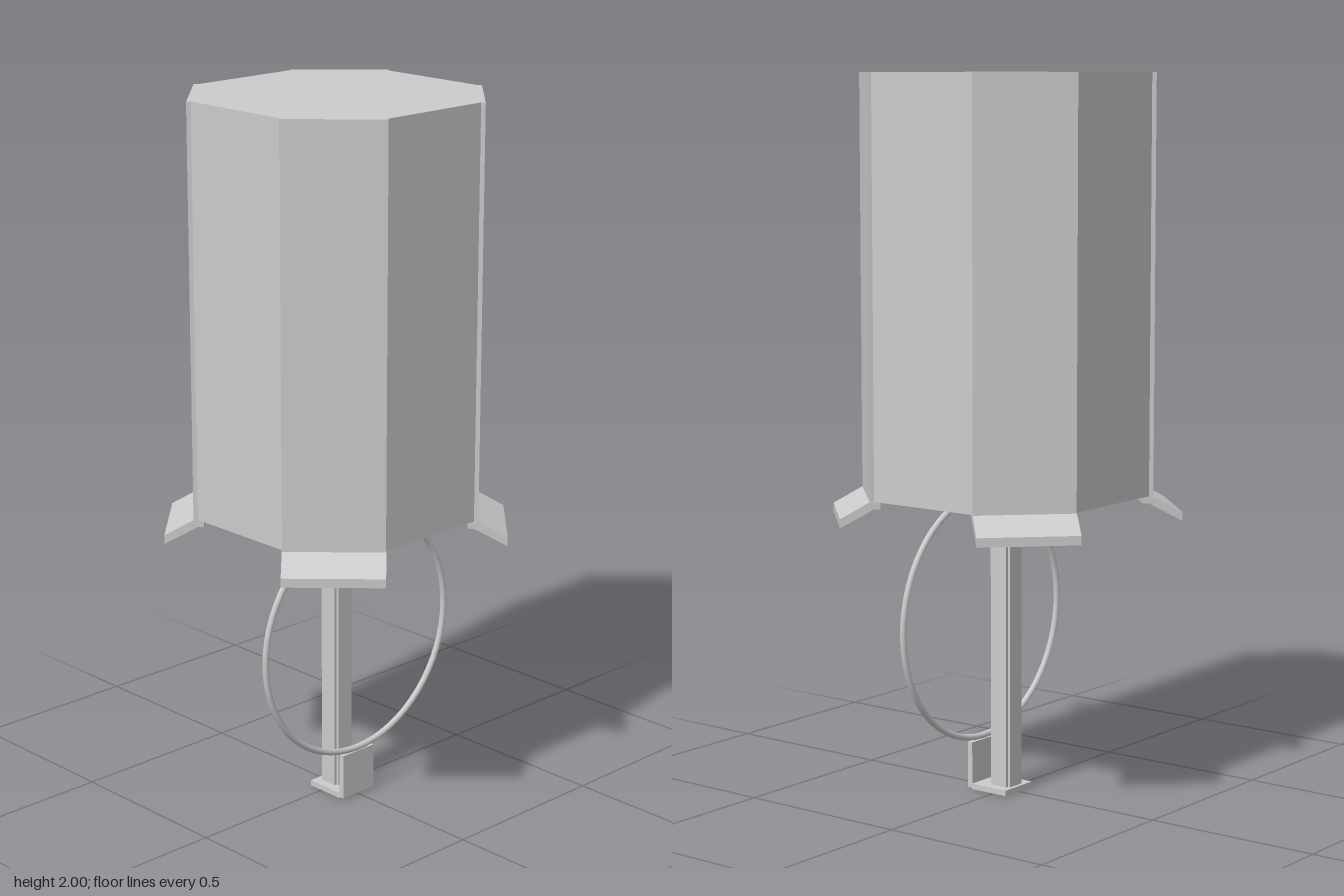
import * as THREE from 'three';

const material = new THREE.MeshStandardMaterial({ color: 0xcccccc, flatShading: true });
const smooth = new THREE.MeshStandardMaterial({ color: 0xcccccc });

// Repeat one quarter of an outline four times around the centre
function quarterPoints(quarter) {
  const points = [];
  for (let i = 0; i < 4; i++) {
    for (const [x, y] of quarter) {
      points.push(new THREE.Vector2(x, y).rotateAround(new THREE.Vector2(), i * Math.PI / 2));
    }
  }
  return points;
}

// Upright prism from an outline, with an optional hole through it
function prism(outer, inner, y0, y1) {
  const shape = new THREE.Shape(quarterPoints(outer));
  if (inner) shape.holes.push(new THREE.Path(quarterPoints(inner)));
  const geometry = new THREE.ExtrudeGeometry(shape, { depth: y1 - y0, bevelEnabled: false });
  return geometry.rotateX(-Math.PI / 2).translate(0, y0, 0);
}

export function createModel() {
  const model = new THREE.Group();
  model.name = 'hangingChime';

  function add(name, geometry, mat = material) {
    const mesh = new THREE.Mesh(geometry, mat);
    mesh.name = name;
    model.add(mesh);
    return mesh;
  }
  function box(name, x0, x1, y0, y1, z0, z1) {
    add(name, new THREE.BoxGeometry(x1 - x0, y1 - y0, z1 - z0)
      .translate((x0 + x1) / 2, (y0 + y1) / 2, (z0 + z1) / 2));
  }

  // Hollow eight-sided housing whose diagonal panels stand slightly proud
  const outline = [[0.363, 0.17], [0.372, 0.178], [0.178, 0.372], [0.17, 0.363]];
  const inside = [[0.343, 0.166], [0.166, 0.343]];
  add('housingWalls', prism(outline, inside, 0.85, 1.98));
  add('housingTop', prism(outline, null, 1.98, 2));

  // Sloping lip below each diagonal panel
  const width = 0.276;
  const lipProfile = new THREE.Shape([
    [0.36, 0.85], [0.36, 0.83], [0.377, 0.83], [0.47, 0.78], [0.47, 0.805], [0.389, 0.85],
  ].map(([x, y]) => new THREE.Vector2(x, y)));
  const lip = new THREE.ExtrudeGeometry(lipProfile, { depth: width, bevelEnabled: false })
    .translate(0, 0, -width / 2);
  for (let i = 0; i < 4; i++) {
    add('flaredLip' + (i + 1), lip).rotation.y = Math.PI / 4 + i * Math.PI / 2;
  }

  // Square post with notched corners, held in a socket inside the housing
  const h = 0.034, n = 0.026;
  add('post', prism([[h, -n], [h, n], [n, n], [n, h]], null, 0.01, 0.9));
  add('postSocket', prism([[0.047, 0.047]], [[0.035, 0.035]], 0.85, 1.98));

  // Foot bracket: base plate and upright tab
  box('footPlate', -0.045, 0.076, 0, 0.016, -0.06, 0.06);
  box('footTab', 0.074, 0.09, 0.016, 0.135, -0.06, 0.06);
  box('footTabBase', 0.074, 0.09, 0.004, 0.016, -0.06, 0.06);

  // Thin ring standing on the tab beside the post
  add('ring', new THREE.TorusGeometry(0.348, 0.009, 10, 64)
    .rotateY(Math.PI / 2).translate(0.083, 0.491, 0), smooth);

  return model;
}
